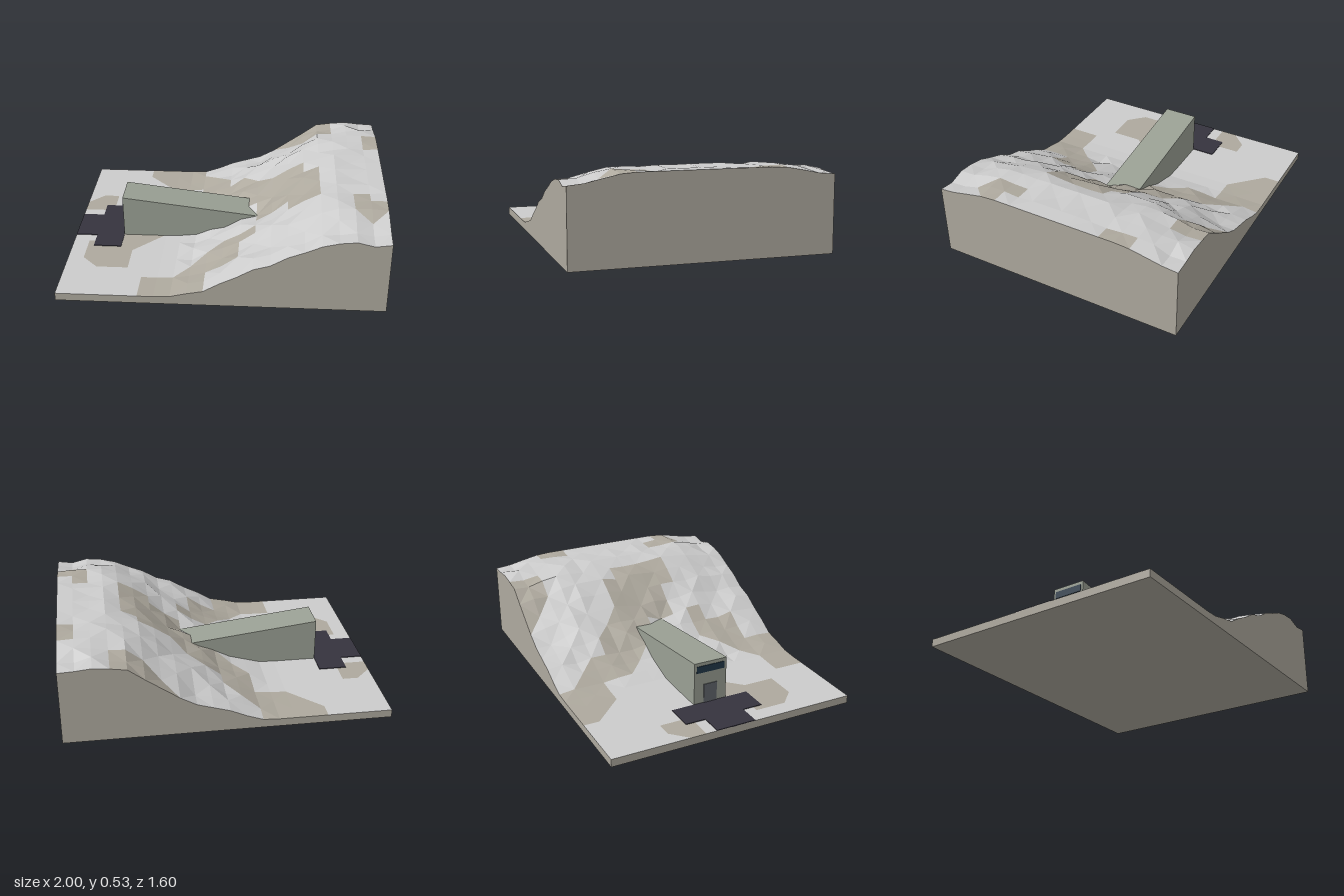
import * as THREE from 'three';

const NX = 20, NZ = 16, STEP = 0.1;

// Slope heights for x = -0.5 to 1 in steps of 0.1: middle, front edge, back edge
const MID = [.05, .05, .055, .07, .11, .155, .215, .27, .33, .395, .455, .5, .528, .53, .53, .53];
const FRONT = [.05, .05, .055, .08, .1, .16, .21, .27, .3, .36, .4, .445, .47, .48, .455, .47];
const BACK = [.05, .05, .05, .055, .09, .135, .165, .195, .25, .32, .39, .465, .48, .49, .48, .475];

// Bare earth patches on the ground, in tenths of a unit (x, z)
const PATCHES = [
  [[-6, -8], [-2, -8], [-2, -7], [0, -5], [0, -4], [1, -4], [3, -2], [5, -2], [5, -1], [6, -1], [6, 3],
    [5, 3], [4, 2], [2, 2], [2, 0], [1, -1], [0, -1], [-2, -3], [-2, -5], [-4, -5], [-6, -7]],
  [[3, -8], [7, -8], [7, -6], [5, -6]],
  [[9, -5], [10, -5], [10, -3], [9, -3]],
  [[-10, -3], [-9, -4], [-8, -4], [-8, -2], [-10, -2]],
  [[-9, 2], [-7, 1], [-4, 1], [-6, 3], [-6, 5], [-8, 5], [-9, 4]],
  [[-5, 6], [-3, 6], [0, 3], [2, 3], [2, 4], [1, 4], [1, 6], [-1, 6], [-1, 8], [-5, 8]],
  [[8, 3], [9, 3], [10, 4], [10, 5], [9, 6], [8, 5]],
];

function inside(poly, x, z) {
  let hit = false;
  poly.forEach(([ax, az], i) => {
    const [bx, bz] = poly[(i + 1) % poly.length];
    if ((az > z) !== (bz > z) && x < ax + (bx - ax) * (z - az) / (bz - az)) hit = !hit;
  });
  return hit;
}

// Repeatable value from -1 to 1 for a grid point
function noise(i, j) {
  const s = Math.sin(i * 127.1 + j * 311.7) * 43758.5453;
  return 2 * (s - Math.floor(s)) - 1;
}

// Height of a grid point: slope profile, lower edges, a shallow dip and rough rock
function height(i, j) {
  const k = i - 5;
  if (k < 0) return 0.05;
  const z = j * STEP - 0.8, x = i * STEP - 1;
  const edge = z > 0 ? FRONT[k] : BACK[k];
  const t = THREE.MathUtils.smoothstep(Math.abs(z), 0.42, 0.8);
  let h = MID[k] + (edge - MID[k]) * t;
  h -= 0.035 * Math.exp(-((x - 0.2) ** 2 + (z - 0.12) ** 2) / 0.025);
  const border = j === 0 || j === NZ || i === NX;
  if (!border && k > 2) h += 0.016 * noise(i, j);
  return THREE.MathUtils.clamp(h, 0.05, 0.53);
}

const material = (color) => new THREE.MeshStandardMaterial({ color, flatShading: true });

function addMesh(group, name, geometry, mat, x = 0, y = 0, z = 0) {
  const mesh = new THREE.Mesh(geometry, mat);
  mesh.name = name;
  mesh.position.set(x, y, z);
  group.add(mesh);
  return mesh;
}

function fromTriangles(points) {
  const geometry = new THREE.BufferGeometry().setFromPoints(points);
  geometry.computeVertexNormals();
  return geometry;
}

function createTerrain(earth) {
  const terrain = new THREE.Group();
  terrain.name = 'terrain';
  const rock = [], soil = [], sides = [];
  const point = (i, j) => new THREE.Vector3(i * STEP - 1, height(i, j), j * STEP - 0.8);
  const ground = (...tri) => {
    const cx = (tri[0].x + tri[1].x + tri[2].x) / 0.3;
    const cz = (tri[0].z + tri[1].z + tri[2].z) / 0.3;
    (PATCHES.some((p) => inside(p, cx, cz)) ? soil : rock).push(...tri);
  };

  // Ground cells with alternating diagonals
  for (let i = 0; i < NX; i++) {
    for (let j = 0; j < NZ; j++) {
      const a = point(i, j), b = point(i + 1, j), c = point(i + 1, j + 1), d = point(i, j + 1);
      if ((i + j) % 2) { ground(a, d, c); ground(a, c, b); }
      else { ground(a, d, b); ground(b, d, c); }
    }
  }

  // Cut walls around the block
  const rim = [];
  for (let i = 0; i < NX; i++) rim.push(point(i, NZ));
  for (let j = NZ; j > 0; j--) rim.push(point(NX, j));
  for (let i = NX; i > 0; i--) rim.push(point(i, 0));
  for (let j = 0; j < NZ; j++) rim.push(point(0, j));
  rim.forEach((p, n) => {
    const q = rim[(n + 1) % rim.length];
    const p0 = p.clone().setY(0), q0 = q.clone().setY(0);
    sides.push(p0, q0, q, p0, q, p);
  });

  addMesh(terrain, 'rockyGround', fromTriangles(rock), material(0xcccccc));
  addMesh(terrain, 'earthPatches', fromTriangles(soil), earth);
  addMesh(terrain, 'cutSides', fromTriangles(sides), earth);
  const base = addMesh(terrain, 'underside', new THREE.PlaneGeometry(2, 1.6), earth);
  base.rotation.x = Math.PI / 2;
  return terrain;
}

function createBunker() {
  const bunker = new THREE.Group();
  bunker.name = 'bunker';

  // Wedge-shaped body running into the hillside
  const profile = new THREE.Shape();
  profile.moveTo(-0.68, 0.04);
  profile.lineTo(-0.2, 0.04);
  profile.lineTo(0.3, 0.17);
  profile.lineTo(0.3, 0.212);
  profile.lineTo(-0.68, 0.33);
  profile.closePath();
  const body = new THREE.ExtrudeGeometry(profile, { depth: 0.22, bevelEnabled: false });
  addMesh(bunker, 'body', body, material(0x9aa094), 0, 0, -0.11);

  // Entrance wall details
  addMesh(bunker, 'window', new THREE.BoxGeometry(0.006, 0.045, 0.19), material(0x22384a), -0.681, 0.285, 0);
  addMesh(bunker, 'door', new THREE.BoxGeometry(0.006, 0.13, 0.09), material(0x62666c), -0.681, 0.115, 0);
  return bunker;
}

function createForecourt() {
  const forecourt = new THREE.Group();
  forecourt.name = 'forecourt';
  const asphalt = material(0x35333e);
  addMesh(forecourt, 'approachRoad', new THREE.BoxGeometry(0.14, 0.006, 0.26), asphalt, -0.93, 0.051, 0);
  addMesh(forecourt, 'apron', new THREE.BoxGeometry(0.18, 0.006, 0.52), asphalt, -0.77, 0.051, 0);
  return forecourt;
}

export function createModel() {
  const model = new THREE.Group();
  model.name = 'hillsideBunker';
  model.add(createTerrain(material(0xaea99e)), createBunker(), createForecourt());
  return model;
}
